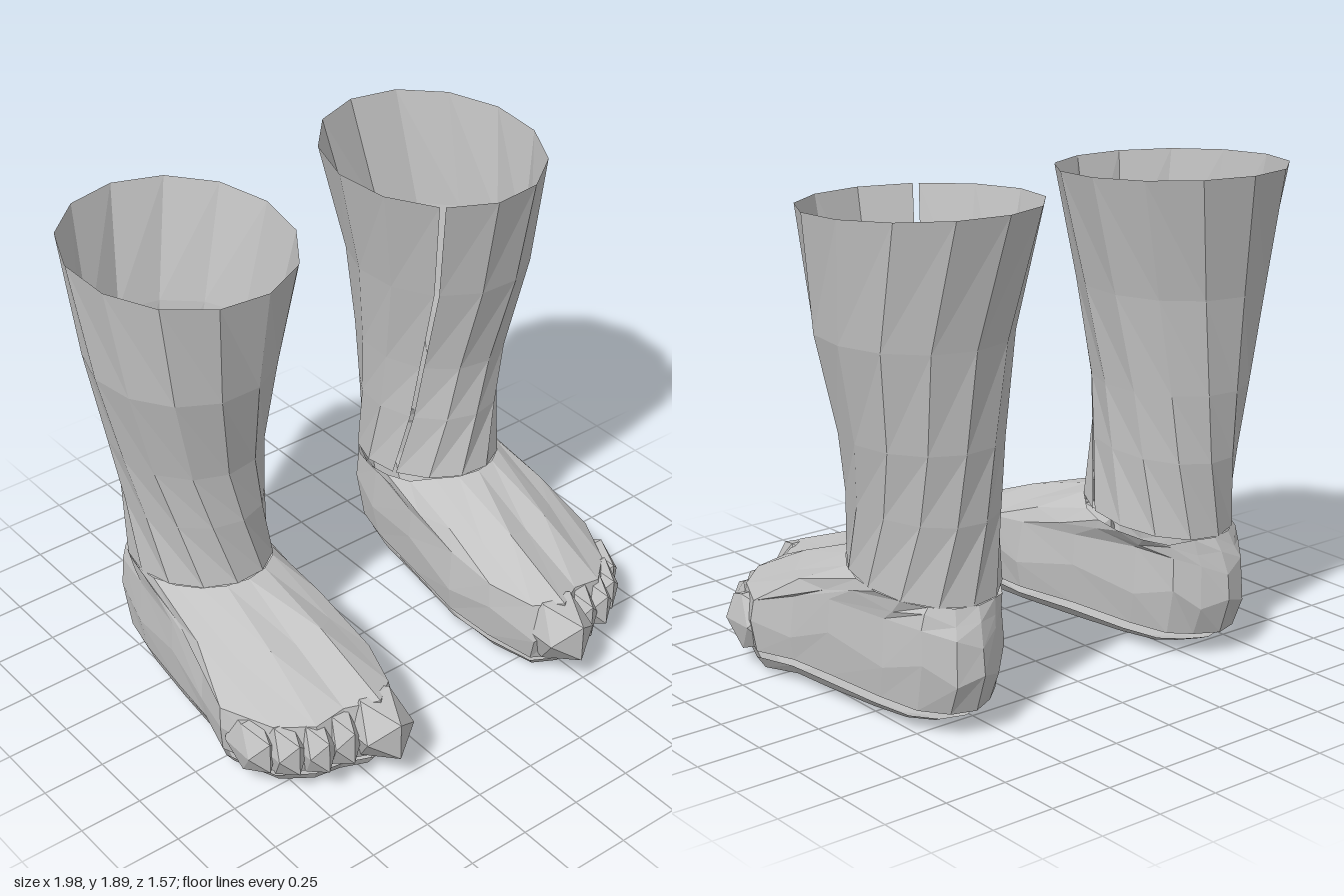
import * as THREE from 'three';

const skin = new THREE.MeshStandardMaterial({ color: 0xc2c2c2, flatShading: true, side: THREE.DoubleSide });
skin.name = 'grey';

// Left-foot outline from the toes round the inner side, heel and outer side: x, z, height where the side turns into the top
const OUTLINE = [
  [0.57, 0.64, 0.32], [0.45, 0.69, 0.34], [0.34, 0.63, 0.33], [0.29, 0.42, 0.35], [0.27, 0.20, 0.38], [0.31, -0.10, 0.40],
  [0.36, -0.40, 0.42], [0.41, -0.57, 0.41], [0.49, -0.64, 0.38], [0.59, -0.69, 0.34], [0.69, -0.66, 0.38], [0.77, -0.56, 0.41],
  [0.81, -0.38, 0.41], [0.85, -0.10, 0.41], [0.87, 0.12, 0.36], [0.92, 0.31, 0.30], [0.83, 0.53, 0.29], [0.70, 0.62, 0.30],
];
// Leg sections: y, inner x, outer x, back z, front z, tilt, angle of the slit
const LEG = [
  [0.52, 0.31, 0.825, -0.625, 0.02, 0.04, 2.85], [0.80, 0.325, 0.83, -0.635, 0.0, 0.02, 2.6], [1.05, 0.315, 0.87, -0.655, 0.0, 0.0, 2.45],
  [1.42, 0.265, 0.95, -0.69, 0.075, 0.0, 2.33], [1.865, 0.165, 1.0, -0.79, 0.145, -0.025, 2.23],
];
// Toes: centre and half sizes, big toe first
const TOES = [
  [0.45, 0.215, 0.63, 0.11, 0.13, 0.155], [0.59, 0.195, 0.60, 0.06, 0.115, 0.09], [0.69, 0.19, 0.575, 0.06, 0.11, 0.095],
  [0.78, 0.185, 0.51, 0.065, 0.11, 0.10], [0.855, 0.18, 0.41, 0.065, 0.11, 0.12],
];

// Skin between rings listed bottom to top; side = -1 mirrors it
function loft(rings, closed, side) {
  const n = rings[0].length, pos = [], idx = [];
  for (const r of rings) for (const p of r) pos.push(p[0] * side, p[1], p[2]);
  for (let k = 0; k < rings.length - 1; k++) {
    for (let i = 0; i < (closed ? n : n - 1); i++) {
      const j = (i + 1) % n, a = k * n + i, b = k * n + j, c = a + n, d = b + n;
      if (side > 0) idx.push(a, c, b, b, c, d);
      else idx.push(a, b, c, b, d, c);
    }
  }
  const g = new THREE.BufferGeometry();
  g.setAttribute('position', new THREE.Float32BufferAttribute(pos, 3));
  g.setIndex(idx);
  const flat = g.toNonIndexed();
  flat.computeVertexNormals();
  return flat;
}

function legPoint([y, x0, x1, z0, z1, tilt], a) {
  return [(x0 + x1) / 2 + (x1 - x0) / 2 * Math.cos(a), y + tilt * Math.sin(a), (z0 + z1) / 2 + (z1 - z0) / 2 * Math.sin(a)];
}

const mix = (p, q, t) => p.map((v, i) => v + (q[i] - v) * t);
// Outline shrunk around a point inside the foot
const shrink = (sx, sz, cz, y) => OUTLINE.map(([x, z]) => [0.6 + (x - 0.6) * sx, y(z), cz + (z - cz) * sz]);

function makeFoot(side) {
  const foot = new THREE.Group();
  const add = (name, geo) => {
    const m = new THREE.Mesh(geo, skin);
    m.name = name;
    foot.add(m);
    return m;
  };

  // Open leg tube with a narrow slit that wanders from the inner front to the inner ankle
  const steps = 13, slit = 0.05;
  add('leg', loft(LEG.map((s) => Array.from({ length: steps + 1 }, (_, i) =>
    legPoint(s, s[6] + slit / 2 + (i / steps) * (Math.PI * 2 - slit)))), false, side));

  // Upper foot: base edge, widest line, shoulder, instep, ankle
  const ankle = OUTLINE.map((_, i) => {
    const p = legPoint(LEG[0], Math.PI / 2 + (i / OUTLINE.length) * Math.PI * 2);
    if (i > 2 && i < 8) p[1] -= 0.025;
    return p;
  });
  const shoulder = OUTLINE.map(([x, z, y], i) => {
    const s = i % 2 ? 0.97 : 0.94;
    return [0.6 + (x - 0.6) * s, y, z > 0 ? z * s : z * 0.985];
  });
  const instep = ankle.map((p, i) => {
    const q = mix(shoulder[i], p, 0.5);
    q[1] += i % 2 ? 0.018 : -0.008;
    return q;
  });
  const base = shrink(0.95, 0.94, 0.1, (z) => 0.115 - 0.06 * Math.max(0, z) - 0.03 * Math.max(0, -z));
  const belly = OUTLINE.map(([x, z, y], i) => [x, y * 0.58 + (i % 2 ? 0.045 : -0.01), z]);
  add('upperFoot', loft([base, belly, shoulder, instep, ankle], true, side));

  // Separate thin, gently dished sole
  const tip = OUTLINE.map(() => [0.6, 0.012, 0.1]);
  add('sole', loft([tip, shrink(0.6, 0.72, 0.2, (z) => (z > 0.2 ? 0 : 0.018)),
    shrink(0.82, 0.84, 0.28, (z) => (z > 0.2 ? 0.018 : 0.035)),
    shrink(0.93, 0.89, 0.3, (z) => 0.08 - 0.035 * Math.abs(z))], true, side));

  // Angular toes
  TOES.forEach(([x, y, z, rx, ry, rz], i) => {
    const geo = new THREE.IcosahedronGeometry(1.17, 0).scale(rx, ry, rz);
    const toe = add(i ? 'smallToe' : 'bigToe', geo);
    toe.position.set(x * side, y, z);
  });
  return foot;
}

export function createModel() {
  const model = new THREE.Group();
  for (const side of [1, -1]) {
    const foot = makeFoot(side);
    foot.name = side > 0 ? 'leftFoot' : 'rightFoot';
    model.add(foot);
  }
  return model;
}
